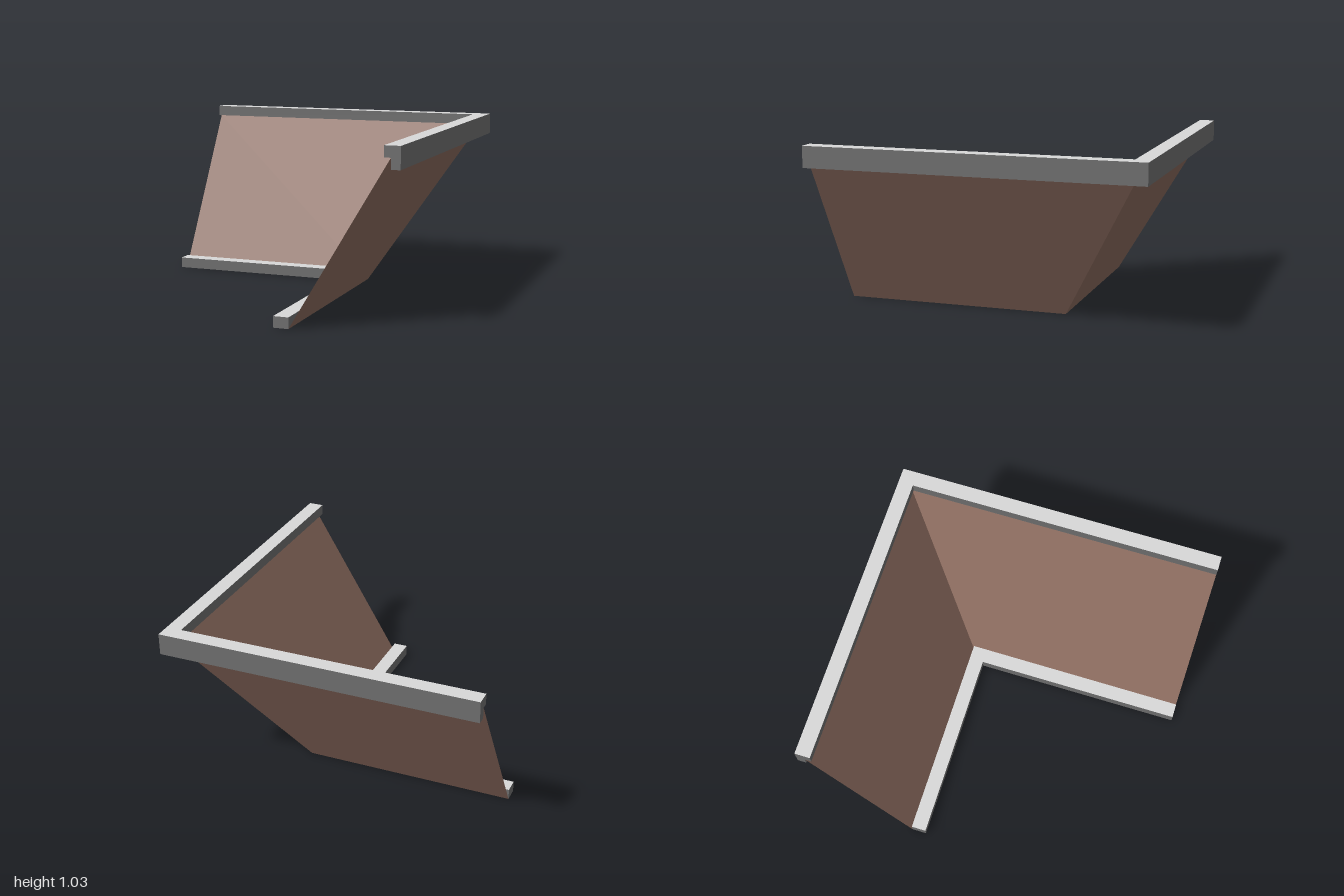
import * as THREE from 'three';

const START_Z = 1, END_X = -0.95, OFFSET = 0.05;

// Three stations of the mitred L path for a profile point [d, y]
const stations = ([d, y]) => [
  [d, y, START_Z],
  [d, y, -(d + OFFSET)],
  [END_X, y, -(d + OFFSET)],
];

function toGeometry(points) {
  const g = new THREE.BufferGeometry();
  g.setAttribute('position', new THREE.Float32BufferAttribute(points.flat(), 3));
  g.computeVertexNormals();
  return g;
}

// Flat strip swept along the L by one profile edge
function sweepEdge(p, q) {
  const P = stations(p), Q = stations(q), out = [];
  for (let i = 0; i < 2; i++) {
    out.push(P[i], P[i + 1], Q[i + 1], P[i], Q[i + 1], Q[i]);
  }
  return out;
}

// Closed rail from a counterclockwise profile: dark body with light upper face
function makeRail(name, profile, bodyMaterial, topMaterial) {
  const body = [], top = [];
  profile.forEach((p, i) => {
    const q = profile[(i + 1) % profile.length];
    const facesUp = p[1] === q[1] && q[0] < p[0];
    (facesUp ? top : body).push(...sweepEdge(p, q));
  });
  // End caps
  const contour = profile.map(([d, y]) => new THREE.Vector2(d, y));
  for (const [a, b, c] of THREE.ShapeUtils.triangulateShape(contour, [])) {
    const [A, B, C] = [a, b, c].map((k) => stations(profile[k]));
    body.push(A[0], B[0], C[0], C[2], B[2], A[2]);
  }
  const rail = new THREE.Group();
  rail.name = name;
  const bodyMesh = new THREE.Mesh(toGeometry(body), bodyMaterial);
  bodyMesh.name = name + 'Body';
  const topMesh = new THREE.Mesh(toGeometry(top), topMaterial);
  topMesh.name = name + 'Top';
  rail.add(bodyMesh, topMesh);
  return rail;
}

export function createModel() {
  const brown = new THREE.MeshStandardMaterial({ color: 0x8b6b5e, side: THREE.DoubleSide });
  brown.name = 'brown panel';
  const darkGrey = new THREE.MeshStandardMaterial({ color: 0x6e6e6e });
  darkGrey.name = 'dark grey trim';
  const lightGrey = new THREE.MeshStandardMaterial({ color: 0xd8d8d8 });
  lightGrey.name = 'light grey trim top';

  const model = new THREE.Group();
  model.name = 'slopedCornerWall';

  // Two thin leaning panels meeting at the mitred corner
  const panels = new THREE.Mesh(toGeometry(sweepEdge([0.325, 0], [0.895, 0.96])), brown);
  panels.name = 'slopedPanels';
  model.add(panels);

  // Foot rail along the inner bottom edge
  model.add(makeRail('footRail',
    [[0.235, 0], [0.325, 0], [0.325, 0.065], [0.235, 0.065]], darkGrey, lightGrey));

  // Coping along the top, with a lip hanging down outside
  model.add(makeRail('coping',
    [[0.858, 0.963], [0.897, 0.963], [0.897, 0.9], [0.95, 0.9], [0.95, 1.027], [0.858, 1.027]],
    darkGrey, lightGrey));

  return model;
}
